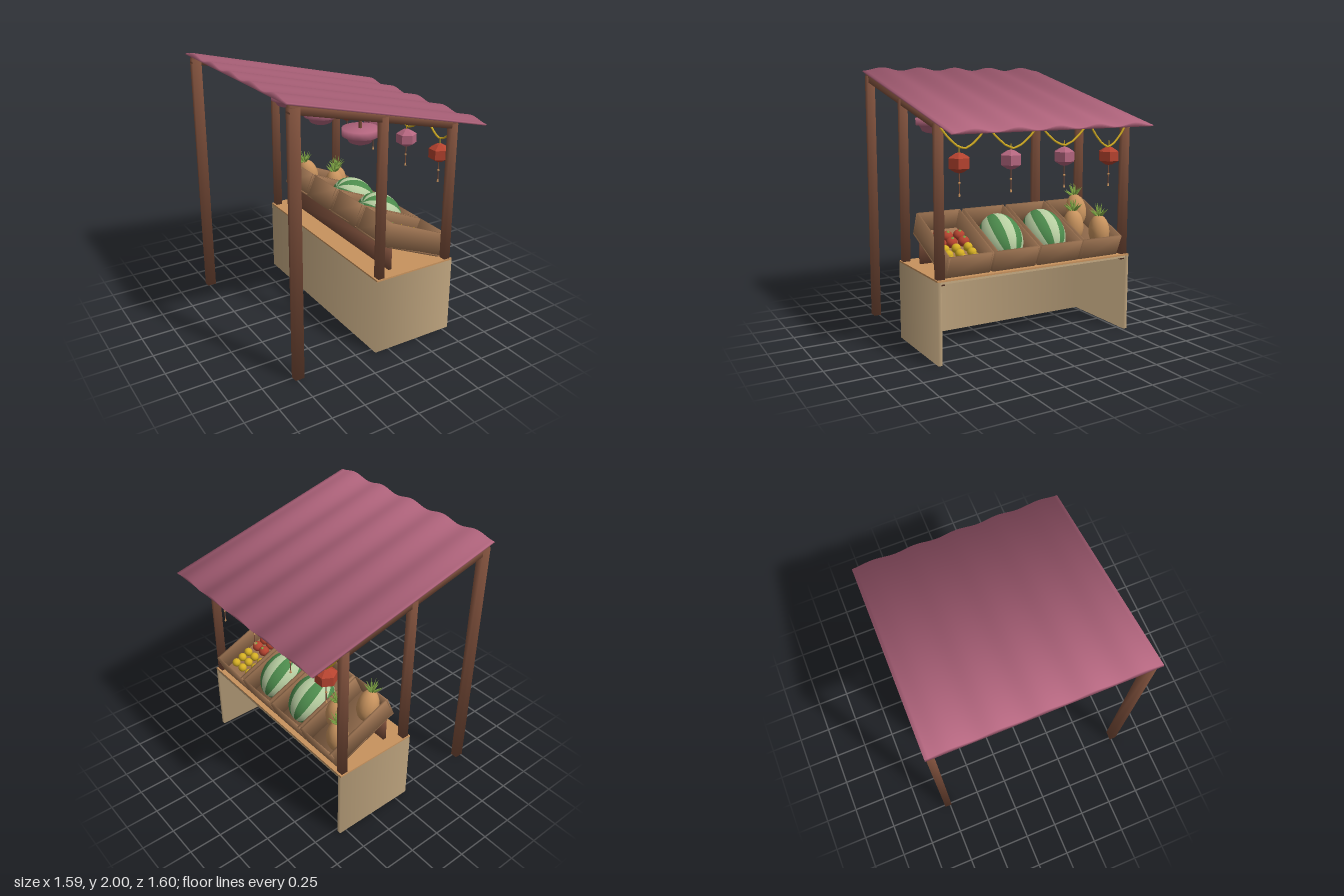
import * as THREE from 'three';

const mat = (name, color) => Object.assign(new THREE.MeshStandardMaterial({ color }), { name });
const pink = mat('rosePink', 0xb4667f), wood = mat('darkWood', 0x7d4f3b), tan = mat('tanPanel', 0xc4a982);
const amber = mat('amber', 0xc8935e), crateWood = mat('crateWood', 0x9e7452), red = mat('red', 0xb5432f);
const green = mat('rindGreen', 0x4c8a4c), pale = mat('rindPale', 0xb6cda0);
const yellow = mat('yellow', 0xd6b024), leaf = mat('leafGreen', 0x7ea444);

function add(parent, name, geo, material, x = 0, y = 0, z = 0) {
  const m = new THREE.Mesh(geo, material);
  m.name = name;
  m.position.set(x, y, z);
  parent.add(m);
  return m;
}

function group(parent, name, x = 0, y = 0, z = 0) {
  const g = new THREE.Group();
  g.name = name;
  g.position.set(x, y, z);
  parent.add(g);
  return g;
}

// Blend the different face normals meeting at each corner (optionally ignoring caps)
function soften(geo, skipY = false) {
  const p = geo.attributes.position, n = geo.attributes.normal, corners = new Map();
  const key = i => [p.getX(i), p.getY(i), p.getZ(i)].map(v => v.toFixed(4)).join();
  for (let i = 0; i < p.count; i++) {
    const v = new THREE.Vector3().fromBufferAttribute(n, i);
    if (skipY && Math.abs(v.y) > 0.9) continue;
    const list = corners.get(key(i)) ?? [];
    if (!list.some(o => o.distanceTo(v) < 0.01)) list.push(v);
    corners.set(key(i), list);
  }
  for (let i = 0; i < p.count; i++) {
    const s = new THREE.Vector3();
    corners.get(key(i)).forEach(v => s.add(v));
    s.normalize();
    n.setXYZ(i, s.x, s.y, s.z);
  }
  return geo;
}
const softBox = (w, h, d) => soften(new THREE.BoxGeometry(w, h, d));

// Sloping roof slab: flat underside, rippled top, rounded shading
const underside = x => 1.768 - 0.245 * x;
function roofGeometry() {
  const pos = [], nor = [], idx = [], N = 60, k = Math.PI * 2 / 0.32, tilt = -0.24;
  for (let i = 0; i <= N; i++) {
    const z = -0.8 + 1.6 * i / N, top = 0.024 + 0.013 * Math.cos(k * z);
    for (const [sx, sy] of [[-1, 1], [1, 1], [1, -1], [-1, -1]]) {
      const x = sx * 0.79 + sy * 0.005;
      pos.push(x, underside(x) + (sy > 0 ? top : 0), z);
      const nz = i === 0 ? -1 : i === N ? 1 : sy > 0 ? 0.25 * Math.sin(k * z) : 0;
      const v = new THREE.Vector3(sx, sy, nz).applyAxisAngle(new THREE.Vector3(0, 0, 1), tilt).normalize();
      nor.push(v.x, v.y, v.z);
    }
    if (i < N) for (let j = 0; j < 4; j++) {
      const a = i * 4 + j, b = i * 4 + (j + 1) % 4;
      idx.push(a, a + 4, b + 4, a, b + 4, b);
    }
  }
  const e = N * 4;
  idx.push(0, 1, 2, 0, 2, 3, e, e + 3, e + 2, e, e + 2, e + 1);
  const g = new THREE.BufferGeometry();
  g.setAttribute('position', new THREE.Float32BufferAttribute(pos, 3));
  g.setAttribute('normal', new THREE.Float32BufferAttribute(nor, 3));
  g.setIndex(idx);
  return g;
}

// Posts and sloping side beams
function addFrame(root) {
  const frame = group(root, 'frame');
  for (const z of [-0.765, 0.765]) {
    for (const [x, w, y0, y1] of [[-0.73, 0.07, 0, 1.93], [-0.07, 0.05, 0.55, 1.77], [0.515, 0.05, 0.55, 1.63]])
      add(frame, 'post', softBox(w, y1 - y0, 0.055), wood, x, (y0 + y1) / 2, z);
    add(frame, 'roofBeam', softBox(1.33, 0.05, 0.05), wood, -0.115, 1.768, z).rotation.z = -0.232;
  }
}

// Counter: U-shaped panels open at +x, with a top board
function addCounter(root) {
  const counter = group(root, 'counter');
  const u = new THREE.Shape([[-0.11, -0.8], [0.555, -0.8], [0.555, -0.77], [-0.08, -0.77],
    [-0.08, 0.77], [0.555, 0.77], [0.555, 0.8], [-0.11, 0.8]].map(p => new THREE.Vector2(...p)));
  const panels = new THREE.ExtrudeGeometry(u, { depth: 0.58, bevelEnabled: false }).rotateX(-Math.PI / 2);
  add(counter, 'counterPanels', soften(panels, true), tan);
  add(counter, 'counterTop', new THREE.BoxGeometry(0.665, 0.012, 1.6), amber, 0.2225, 0.586, 0);
  add(counter, 'counterLip', new THREE.BoxGeometry(0.02, 0.015, 1.54), tan, 0.545, 0.5725, 0);
  add(counter, 'crateSupport', softBox(0.025, 0.18, 1.42), wood, 0.062, 0.682, 0);
}

// Open crate tilted towards the customer; returned group has its floor at y = 0
function addCrate(root, z) {
  const c = group(root, 'crate', 0.247, 0.689, z), L = 0.57, H = 0.18, W = 0.345, t = 0.014;
  c.rotation.z = -0.4;
  add(c, 'crateFloor', softBox(L, t, W), crateWood, 0, t / 2, 0);
  for (const s of [-1, 1]) {
    add(c, 'crateEnd', softBox(t, H, W), crateWood, s * (L - t) / 2, H / 2, 0);
    add(c, 'crateSide', softBox(L, H, t), crateWood, 0, H / 2, s * (W - t) / 2);
  }
  return c;
}

function addMelon(root, z) {
  const m = group(root, 'watermelon', 0.322, 0.774, z);
  m.rotation.z = 0.9;
  m.scale.set(0.155, 0.2, 0.155);
  const step = Math.PI / 6;
  for (let i = 0; i < 12; i++)
    add(m, 'rindStripe', new THREE.SphereGeometry(1, 4, 20, Math.PI + (i - 0.5) * step, step), i % 2 ? green : pale);
}

function addPineapple(root, x, y, z, lean) {
  const p = group(root, 'pineapple', x, y, z);
  p.rotation.z = lean;
  add(p, 'pineappleBody', new THREE.SphereGeometry(1, 16, 12), amber).scale.set(0.08, 0.125, 0.08);
  for (let i = 0; i < 14; i++) {
    const inner = i >= 9, holder = group(p, 'pineappleLeaf', 0, 0.105, 0);
    holder.rotation.set(0, i * 2.4, inner ? -0.25 : -0.85, 'YXZ');
    const len = inner ? 0.115 : 0.1;
    add(holder, 'leafBlade', new THREE.ConeGeometry(0.014, len, 5), leaf, 0, len / 2, 0).scale.z = 0.6;
  }
}

// Red fruit behind, yellow fruit in front
function addSmallFruit(crate) {
  for (const z of [-0.105, -0.012, 0.075]) {
    for (const x of [-0.11, -0.03]) {
      add(crate, 'redFruit', new THREE.SphereGeometry(0.043, 14, 10), red, x, 0.072, z).scale.y = 0.9;
      add(crate, 'fruitStem', new THREE.ConeGeometry(0.014, 0.014, 5), leaf, x, 0.115, z);
    }
    for (const x of [0.06, 0.125, 0.19])
      add(crate, 'yellowFruit', new THREE.SphereGeometry(0.034, 12, 8), yellow, x, 0.085, z + 0.01);
  }
  add(crate, 'fruitBed', new THREE.BoxGeometry(0.5, 0.03, 0.31), crateWood, 0, 0.025, 0);
}

// Wide bowl lamps under the roof
function addLamp(root, z) {
  const lamp = group(root, 'ceilingLamp', -0.088, 0, z);
  const profile = [[0, 1.525], [0.045, 1.52], [0.08, 1.535], [0.1, 1.575], [0.127, 1.578], [0.127, 1.63], [0, 1.63]];
  add(lamp, 'lampShade', new THREE.LatheGeometry(profile.map(p => new THREE.Vector2(...p)), 20), pink);
  add(lamp, 'lampRod', new THREE.CylinderGeometry(0.012, 0.012, 0.17, 8), wood, 0, 1.71, 0);
}

// Faceted paper lantern with a tassel, y is its middle
function addLantern(root, y, z, material) {
  const l = group(root, 'lantern', 0.53, y, z);
  const profile = [[0, -0.07], [0.03, -0.062], [0.078, -0.034], [0.078, 0.034], [0.03, 0.062], [0, 0.07]];
  const geo = new THREE.LatheGeometry(profile.map(p => new THREE.Vector2(...p)), 6).toNonIndexed();
  geo.computeVertexNormals();
  add(l, 'lanternShade', geo, material);
  add(l, 'tasselString', new THREE.CylinderGeometry(0.004, 0.004, 0.15, 5), wood, 0, -0.14, 0);
  add(l, 'tasselKnot', new THREE.SphereGeometry(0.009, 6, 5), amber, 0, -0.135, 0);
  add(l, 'tasselEnd', new THREE.ConeGeometry(0.009, 0.04, 5), amber, 0, -0.205, 0);
  add(l, 'lanternCord', new THREE.CylinderGeometry(0.004, 0.004, 0.05, 5), yellow, 0, 0.085, 0);
}

// Garland hanging in four swags
function addGarland(root) {
  const pts = [], ends = [0.765, 0.42, 0.01, -0.41, -0.765], lows = [1.46, 1.445, 1.445, 1.415];
  for (let s = 0; s < 4; s++) for (let i = s ? 1 : 0; i <= 6; i++) {
    const t = i / 6, h = Math.abs(2 * t - 1) ** 1.6;
    pts.push(new THREE.Vector3(0.55, lows[s] + (1.605 - lows[s]) * h, ends[s] + (ends[s + 1] - ends[s]) * t));
  }
  const curve = new THREE.CatmullRomCurve3(pts, false, 'catmullrom', 0);
  add(root, 'garland', new THREE.TubeGeometry(curve, 60, 0.008, 5), yellow);
}

export function createModel() {
  const root = new THREE.Group();
  root.name = 'fruitStall';
  add(root, 'roof', roofGeometry(), pink);
  addFrame(root);
  addCounter(root);

  const crates = [0.555, 0.187, -0.18, -0.54].map(z => addCrate(root, z));
  addSmallFruit(crates[0]);
  addMelon(root, 0.187);
  addMelon(root, -0.18);
  addPineapple(root, 0.14, 0.885, -0.6, 0.3);
  addPineapple(root, 0.31, 0.8, -0.455, 0.05);
  addPineapple(root, 0.43, 0.765, -0.61, 0.05);

  for (const z of [-0.525, 0, 0.525]) addLamp(root, z);
  addLantern(root, 1.367, 0.62, red);
  addLantern(root, 1.367, 0.225, pink);
  addLantern(root, 1.367, -0.215, pink);
  addLantern(root, 1.35, -0.61, red);
  addGarland(root);
  return root;
}
